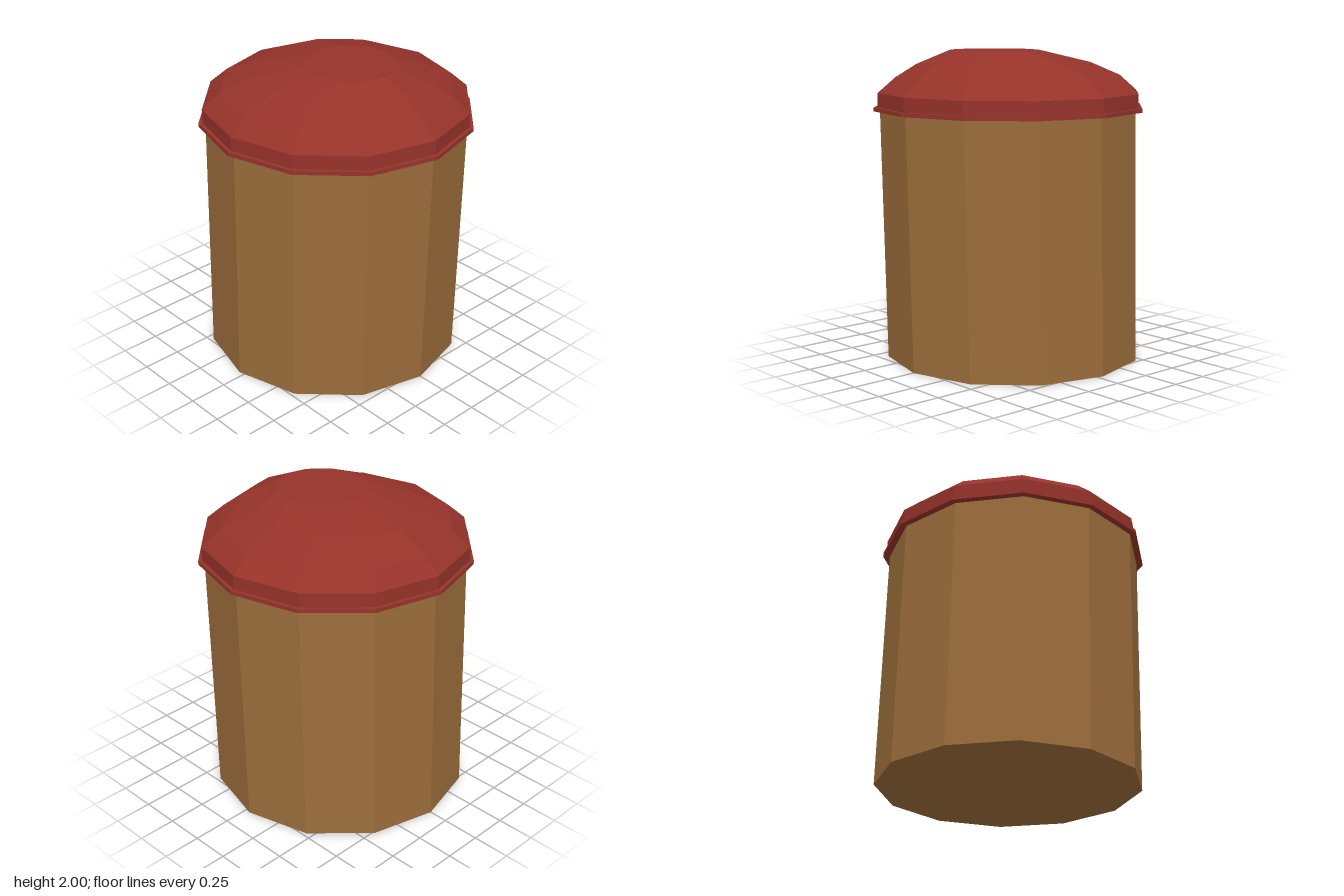
import * as THREE from 'three';

const SIDES = 12;
const red = new THREE.MeshStandardMaterial({ color: 0x96332a });
red.name = 'cap red';
const brown = new THREE.MeshStandardMaterial({ color: 0x9c6d3b });
brown.name = 'trunk brown';

// Faceted solid of revolution from [radius, y] points (bottom to top);
// shift(x, y, radius) returns a sideways offset for each vertex.
function turned(name, profile, material, shift = () => 0) {
  const points = profile.map(([r, y]) => new THREE.Vector2(r, y));
  const lathe = new THREE.LatheGeometry(points, SIDES);
  const pos = lathe.attributes.position;
  for (let i = 0; i < pos.count; i++) {
    const x = pos.getX(i);
    const y = pos.getY(i);
    pos.setX(i, x + shift(x, y, Math.hypot(x, pos.getZ(i))));
  }
  const geometry = lathe.toNonIndexed();
  geometry.computeVertexNormals(); // flat facets
  const mesh = new THREE.Mesh(geometry, material);
  mesh.name = name;
  return mesh;
}

export function createModel() {
  const model = new THREE.Group();
  model.name = 'cappedDrum';

  // Body leans slightly towards +x
  model.add(turned('body', [[0, 0], [0.838, 0], [0.838, 1.63], [0, 1.63]], brown,
    (x, y) => -0.036 + 0.024 * y));

  // Thin rim under the cap
  model.add(turned('rim', [[0, 1.615], [0.88, 1.615], [0.88, 1.64], [0, 1.64]], red));

  // Domed cap with its flat crown pulled towards +x
  model.add(turned('cap', [[0.855, 1.64], [0.855, 1.73], [0.74, 1.83],
    [0.54, 1.915], [0.293, 2], [0, 2]], red, (x, y, r) => {
    if (y > 1.99) return 0.13;
    if (y > 1.9 && x > 0.6 * r) return 0.08;
    return 0;
  }));

  return model;
}
